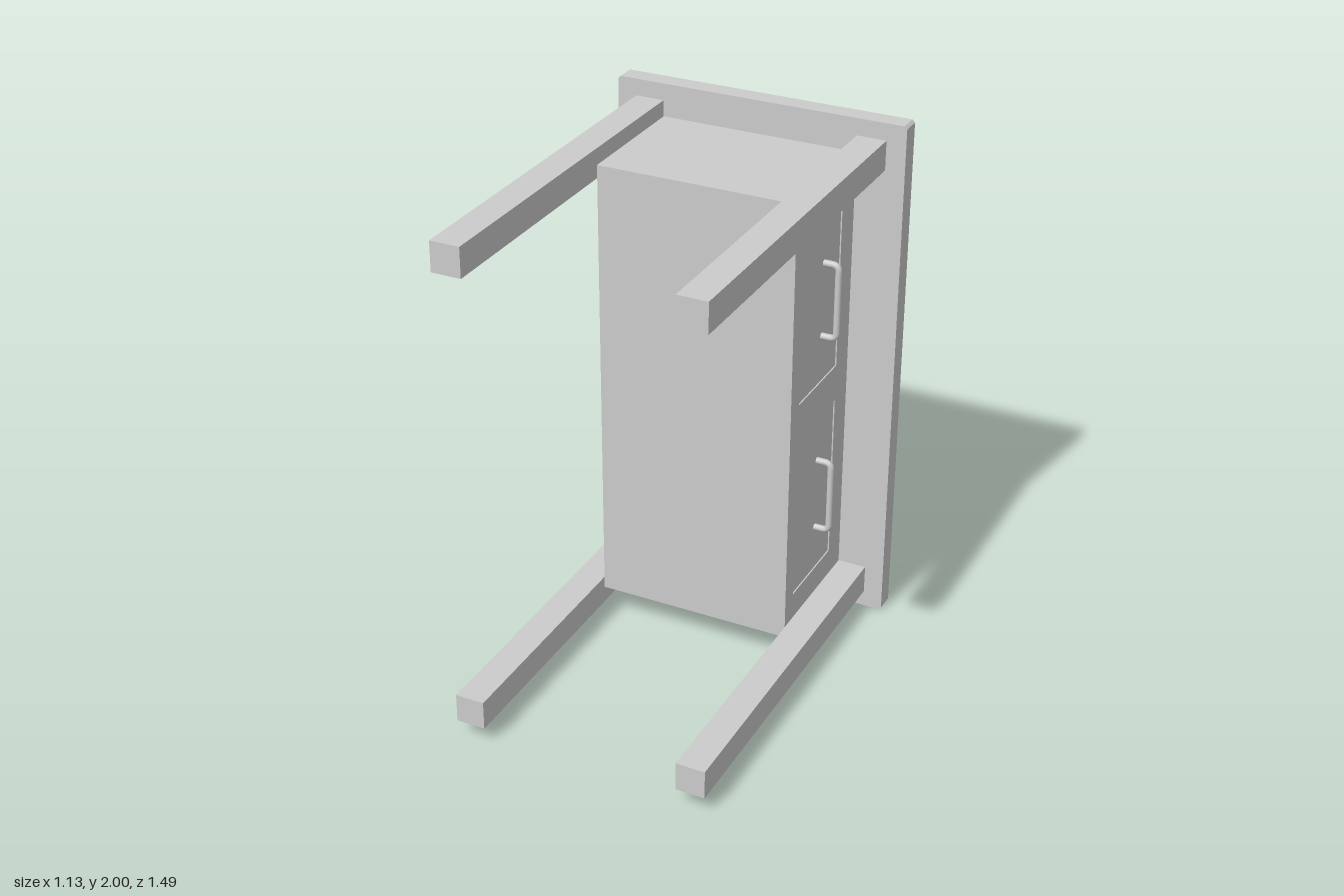
import * as THREE from 'three';

// A desk resting on its side: tabletop at the back, legs pointing forward.
export function createModel() {
  const model = new THREE.Group();
  const material = new THREE.MeshStandardMaterial({ color: 0xcccccc });

  const add = (geometry, name) => {
    const mesh = new THREE.Mesh(geometry, material);
    mesh.name = name;
    model.add(mesh);
    return mesh;
  };
  // Box given by its lower and upper limits on each axis
  const addBox = (name, [x0, x1], [y0, y1], [z0, z1]) =>
    add(new THREE.BoxGeometry(x1 - x0, y1 - y0, z1 - z0), name)
      .position.set((x0 + x1) / 2, (y0 + y1) / 2, (z0 + z1) / 2);

  // Tabletop with small cut corners
  const w = 0.563, h = 1, c = 0.01;
  const outline = [
    [w, h - c], [w - c, h], [-w + c, h], [-w, h - c],
    [-w, -h + c], [-w + c, -h], [w - c, -h], [w, -h + c],
  ].map(([x, y]) => new THREE.Vector2(x, y));
  add(new THREE.ExtrudeGeometry(new THREE.Shape(outline), { depth: 0.074, bevelEnabled: false }), 'tabletop')
    .position.set(0, 1, -0.745);

  // Four square legs
  for (const sx of [-1, 1]) {
    for (const sy of [-1, 1]) {
      const leg = add(new THREE.BoxGeometry(0.111, 0.111, 1.416), 'leg');
      leg.position.set(sx * 0.4335, 1 + sy * 0.8805, 0.037);
    }
  }

  // Cabinet under the tabletop
  const side = 0.378, recess = 0.005;
  addBox('cabinet', [-side, side - recess], [0.13, 1.874], [-0.671, -0.16]);

  // Facing with two shallow drawer recesses
  const rect = (Type, x0, x1, y0, y1) => new Type([
    new THREE.Vector2(x0, y0), new THREE.Vector2(x1, y0),
    new THREE.Vector2(x1, y1), new THREE.Vector2(x0, y1),
  ]);
  const facing = rect(THREE.Shape, 0.16, 0.671, 0.13, 1.874);
  const drawerCentres = [0.607, 1.405];
  for (const y of drawerCentres) {
    facing.holes.push(rect(THREE.Path, 0.23, 0.565, y - 0.327, y + 0.327));
  }
  const face = add(new THREE.ExtrudeGeometry(facing, { depth: recess, bevelEnabled: false }), 'drawerFacing');
  face.rotation.y = Math.PI / 2;
  face.position.x = side - recess;

  // Bent bar handles
  const reach = 0.43, half = 0.143, bend = 0.025;
  const v = (x, y) => new THREE.Vector3(x, y, 0);
  const bar = new THREE.CurvePath();
  bar.add(new THREE.LineCurve3(v(side - recess, half), v(reach - bend, half)));
  bar.add(new THREE.QuadraticBezierCurve3(v(reach - bend, half), v(reach, half), v(reach, half - bend)));
  bar.add(new THREE.LineCurve3(v(reach, half - bend), v(reach, bend - half)));
  bar.add(new THREE.QuadraticBezierCurve3(v(reach, bend - half), v(reach, -half), v(reach - bend, -half)));
  bar.add(new THREE.LineCurve3(v(reach - bend, -half), v(side - recess, -half)));
  const handleGeometry = new THREE.TubeGeometry(bar, 80, 0.0125, 16);
  for (const y of drawerCentres) {
    add(handleGeometry, 'drawerHandle').position.set(0, y, -0.426);
  }

  return model;
}
